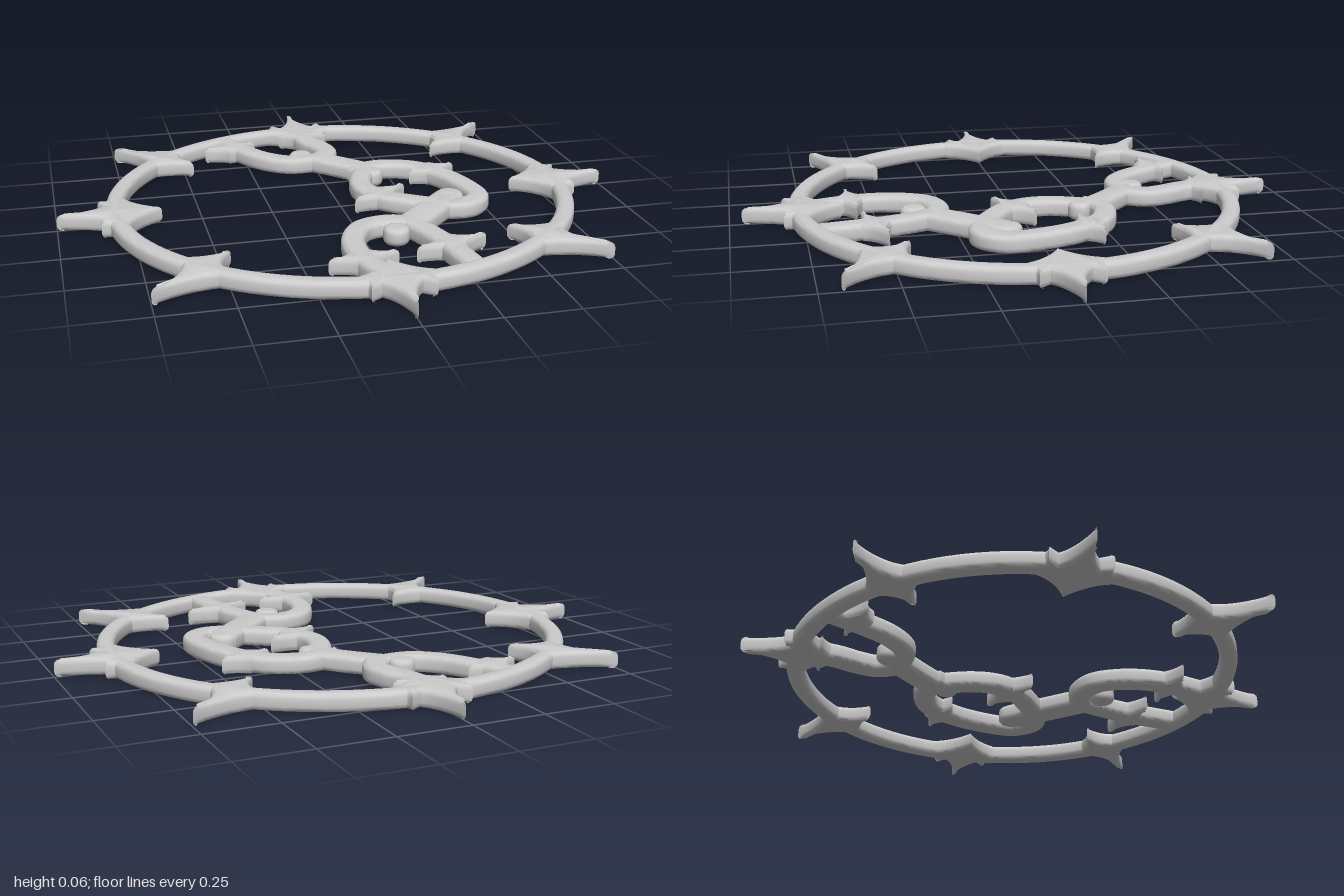
import * as THREE from 'three';
import { toCreasedNormals } from 'three/addons/utils/BufferGeometryUtils.js';

const HEIGHT = 0.06;
const material = new THREE.MeshStandardMaterial({ color: 0xcccccc });

// Plan points are (x, z); the shape plane has y = -z so it can be laid flat.
const plan = (x, z) => new THREE.Vector2(x, -z);

// Lays a plan outline flat as a plate with rounded rims.
function plate(name, shape, bevel = 0.016, segments = 10) {
  const rim = 0.018;
  let geometry = new THREE.ExtrudeGeometry(shape, {
    depth: HEIGHT - 2 * rim, bevelThickness: rim, bevelSize: bevel,
    bevelOffset: -bevel, bevelSegments: 3, curveSegments: segments,
  });
  geometry.rotateX(-Math.PI / 2).translate(0, rim, 0);
  geometry = toCreasedNormals(geometry, 0.6);
  const mesh = new THREE.Mesh(geometry, material);
  mesh.name = name;
  return mesh;
}

// Closed outline: each step is [x, z] for a line or [cx, cz, x, z] for a curve.
function outline(start, steps, map = plan) {
  const shape = new THREE.Shape();
  const p = map(...start);
  shape.moveTo(p.x, p.y);
  for (const s of steps) {
    const a = map(s[0], s[1]);
    if (s.length === 2) shape.lineTo(a.x, a.y);
    else {
      const b = map(s[2], s[3]);
      shape.quadraticCurveTo(a.x, a.y, b.x, b.y);
    }
  }
  return shape;
}

// Band of constant width along a smooth path.
function band(points, width) {
  const curve = new THREE.SplineCurve(points.map(p => plan(...p)));
  const n = points.length * 8, left = [], right = [];
  for (let i = 0; i <= n; i++) {
    const p = curve.getPoint(i / n), t = curve.getTangent(i / n);
    const side = new THREE.Vector2(-t.y, t.x).multiplyScalar(width / 2);
    left.push(p.clone().add(side));
    right.unshift(p.clone().sub(side));
  }
  return new THREE.Shape([...left, ...right]);
}

// Two-pointed thorn lying across a chain strand.
function thorn(a, b) {
  const A = plan(...a), B = plan(...b);
  const c = A.clone().add(B).multiplyScalar(0.5);
  const d = B.clone().sub(A).normalize(), s = new THREE.Vector2(-d.y, d.x);
  const at = (u, v) => c.clone().addScaledVector(d, u).addScaledVector(s, v);
  const h = A.distanceTo(B) / 2;
  return outline([-h, 0], [
    [-0.04, 0.02, -0.025, 0.055], [0.025, 0.055], [0.04, 0.02, h, 0],
    [0.04, -0.02, 0.025, -0.055], [-0.025, -0.055], [-0.04, -0.02, -h, 0],
  ], at);
}

function disc(x, z, r) {
  const p = plan(x, z);
  return new THREE.Shape().absarc(p.x, p.y, r, 0, Math.PI * 2);
}

export function createModel() {
  const model = new THREE.Group();
  model.name = 'thornedRingWithChain';

  // Slightly oval ring
  const ring = new THREE.Shape().absellipse(0, 0, 0.832, 0.797, 0, Math.PI * 2);
  ring.holes.push(new THREE.Path().absellipse(0, 0, 0.77, 0.735, 0, Math.PI * 2));
  model.add(plate('ring', ring, 0.018, 60));

  // Four long barbed points on the axes
  const barbed = [
    [0.87, 0.025, 0.83, 0.065], [0.855, 0.105], [0.81, 0.1, 0.805, 0.135],
    [0.76, 0.125], [0.735, 0.055, 0.64, 0],
    [0.735, -0.055, 0.76, -0.125], [0.805, -0.135],
    [0.81, -0.1, 0.855, -0.105], [0.83, -0.065], [0.87, -0.025, 1, 0],
  ];
  for (let i = 0; i < 4; i++) {
    const a = i * Math.PI / 2, c = Math.cos(a), s = Math.sin(a);
    const k = i % 2 ? 0.957 : 1;
    const turn = (u, v) => plan(u * k * c - v * s, u * k * s + v * c);
    model.add(plate('axisPoint', outline([1, 0], barbed, turn), 0.014));
  }

  // Four flared points on the diagonals
  const flared = [
    [0.61, 0.595, 0.48, 0.61], [0.545, 0.53, 0.47, 0.435],
    [0.56, 0.475, 0.645, 0.445], [0.605, 0.56, 0.75, 0.68],
  ];
  for (const sx of [-1, 1]) for (const sz of [-1, 1]) {
    const flip = (x, z) => plan(sx * x, sz * z);
    model.add(plate('diagonalPoint', outline([0.75, 0.68], flared, flip), 0.014));
  }

  // Strands of the three chain links and the two bars between them
  const strands = [
    ['backLinkStrand', 0.075, [[-0.325, -0.71], [-0.26, -0.58], [-0.19, -0.47], [-0.1, -0.405], [0.02, -0.41]]],
    ['backLinkStrand', 0.085, [[-0.005, -0.78], [0.01, -0.64], [0.045, -0.545], [0.055, -0.47], [0.005, -0.385]]],
    ['backBar', 0.095, [[-0.01, -0.42], [0.08, -0.33], [0.17, -0.23]]],
    ['middleLinkStrand', 0.08, [[0.11, -0.21], [0.17, -0.262], [0.25, -0.268], [0.35, -0.22], [0.43, -0.1],
      [0.472, 0.05], [0.468, 0.14], [0.4, 0.192], [0.29, 0.17]]],
    ['middleLinkStrand', 0.08, [[0.16, -0.25], [0.105, -0.13], [0.1, -0.03], [0.15, 0.06], [0.24, 0.13], [0.32, 0.18]]],
    ['frontBar', 0.11, [[0.38, 0.1], [0.25, 0.235], [0.15, 0.34]]],
    ['frontLinkStrand', 0.08, [[0.19, 0.33], [0.1, 0.29], [0.0, 0.315], [-0.055, 0.4], [-0.072, 0.5],
      [-0.06, 0.6], [-0.02, 0.74]]],
    ['frontLinkStrand', 0.08, [[0.16, 0.3], [0.205, 0.42], [0.235, 0.54], [0.262, 0.71]]],
  ];
  for (const [name, width, path] of strands) model.add(plate(name, band(path, width)));

  // Rounded curls where the links hook together
  for (const [x, z, r] of [[-0.05, -0.45, 0.045], [0.17, -0.2, 0.04], [0.375, 0.1, 0.05], [0.1, 0.375, 0.045]]) {
    model.add(plate('linkCurl', disc(x, z, r)));
  }

  // Thorns across the strands
  const thorns = [
    [[-0.405, -0.58], [-0.2, -0.63]], [[-0.09, -0.69], [0.1, -0.68]],
    [[0.3, -0.15], [0.49, -0.205]], [[0.03, 0.09], [0.245, -0.03]],
    [[-0.185, 0.59], [0.055, 0.565]], [[0.115, 0.56], [0.375, 0.49]],
  ];
  for (const [a, b] of thorns) model.add(plate('thorn', thorn(a, b), 0.012));

  return model;
}
